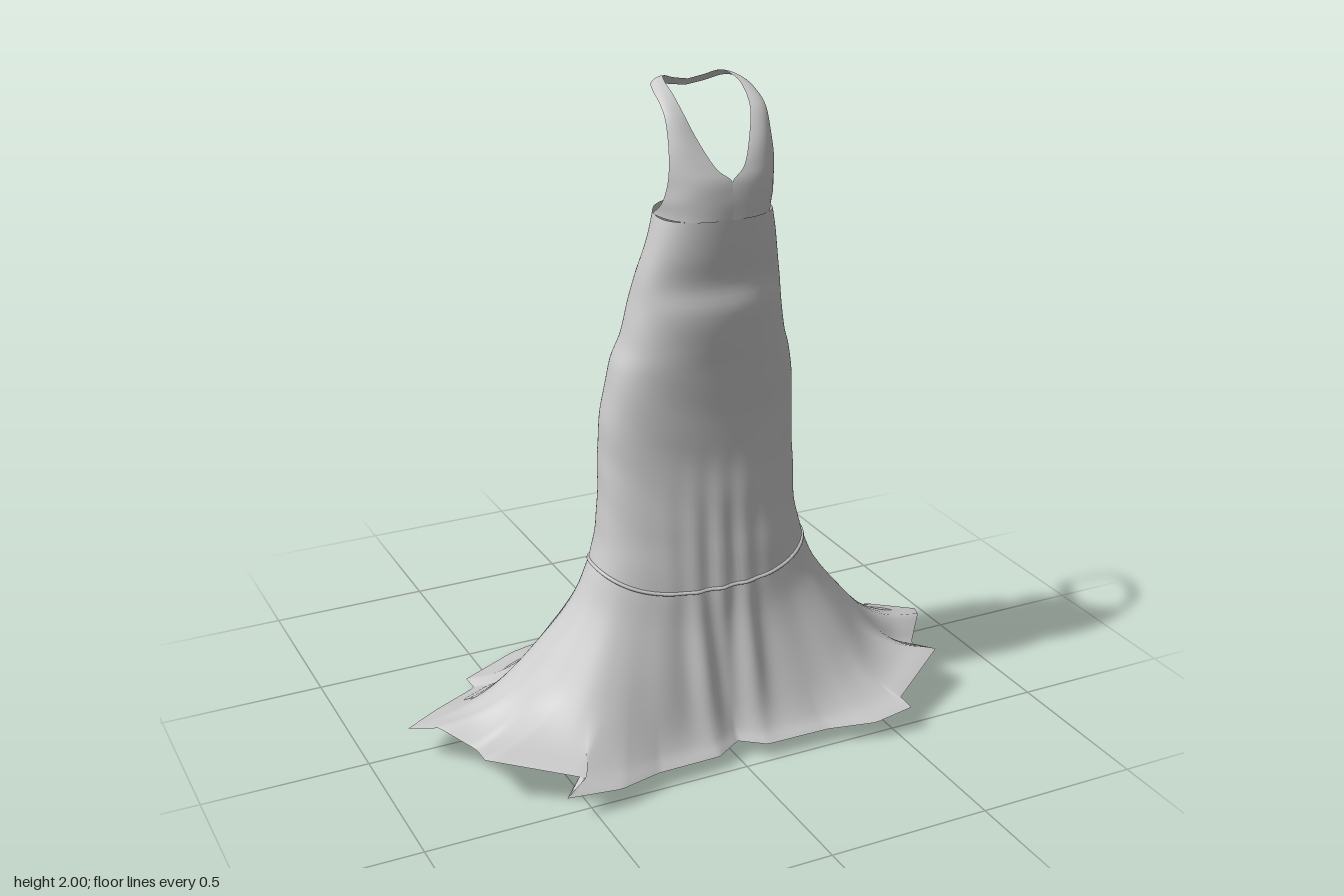
import * as THREE from 'three';

const fabric = new THREE.MeshStandardMaterial({ color: 0xcccccc, side: THREE.DoubleSide });
const { lerp, smoothstep, clamp, radToDeg } = THREE.MathUtils;
const LEAN = -0.01; // the fitted parts sit slightly off centre

// Smooth interpolation through rows [key, a, b, c...] sorted by key
function sample(rows, k) {
  let i = 0;
  while (i < rows.length - 2 && k > rows[i + 1][0]) i++;
  const p0 = rows[Math.max(i - 1, 0)], p1 = rows[i], p2 = rows[i + 1], p3 = rows[Math.min(i + 2, rows.length - 1)];
  const h = p2[0] - p1[0], t = clamp((k - p1[0]) / h, 0, 1);
  return p1.slice(1).map((_, j) => {
    const c = j + 1;
    const m1 = (p2[c] - p0[c]) / (p2[0] - p0[0]) * h, m2 = (p3[c] - p1[c]) / (p3[0] - p1[0]) * h;
    return (2 * t ** 3 - 3 * t * t + 1) * p1[c] + (t ** 3 - 2 * t * t + t) * m1
      + (3 * t * t - 2 * t ** 3) * p2[c] + (t ** 3 - t * t) * m2;
  });
}

// Sheet of cloth from fn(u, v) -> Vector3, optionally closed around u
function sheet(name, cols, rows, closed, fn) {
  const pos = [], index = [], n = closed ? cols : cols + 1;
  for (let r = 0; r <= rows; r++)
    for (let c = 0; c < n; c++) pos.push(...fn(c / cols, r / rows).toArray());
  for (let r = 0; r < rows; r++)
    for (let c = 0; c < cols; c++) {
      const a = r * n + c, b = r * n + (c + 1) % n;
      index.push(a, b, b + n, a, b + n, a + n);
    }
  const g = new THREE.BufferGeometry();
  g.setAttribute('position', new THREE.Float32BufferAttribute(pos, 3));
  g.setIndex(index);
  g.computeVertexNormals();
  const mesh = new THREE.Mesh(g, fabric);
  mesh.name = name;
  return mesh;
}

// Body sections: height, half width, front z, back z
const SECTIONS = [
  [0.5, 0.36, 0.352, -0.037], [0.6, 0.335, 0.345, -0.036], [0.7, 0.312, 0.335, -0.034],
  [0.9, 0.302, 0.322, -0.032], [1.05, 0.294, 0.328, -0.026], [1.2, 0.27, 0.345, 0.0],
  [1.27, 0.245, 0.355, 0.012], [1.38, 0.222, 0.368, 0.03], [1.45, 0.212, 0.358, 0.065],
  [1.54, 0.192, 0.372, 0.1], [1.65, 0.167, 0.387, 0.107],
];

// Angle 0 is the front centre and grows towards +x; the widest line lies forward of the middle
function bodyPoint(angle, y) {
  const [w, front, back] = sample(SECTIONS, y);
  const s = Math.sin(angle), c = Math.cos(angle), mid = (front + back) / 2 + 0.03;
  const ripple = 1 + 0.006 * Math.sin(y * 31 + 2 * Math.cos(angle * 2)) * Math.sin(angle * 3 + y * 9);
  const x = w * Math.sign(s) * Math.abs(s) ** 0.94 * ripple;
  let z = c > 0 ? mid + (front - mid) * c ** 0.85 * ripple : mid - (mid - back) * (-c) * ripple;
  // groove down the centre back and soft pleats on the lower front
  if (c < 0) z += 0.035 * Math.exp(-((x / 0.025) ** 2)) * smoothstep(1.55 - y, 0, 0.4);
  else z += 0.005 * Math.cos(x * 75) * Math.exp(-((x / 0.12) ** 2)) * smoothstep(1.0 - y, 0, 0.4);
  return new THREE.Vector3(x + LEAN, y, z);
}

const seamHeight = a => 0.525 + 0.062 * Math.abs(Math.sin(a)) ** 3 + 0.007 * (1 - Math.cos(a));

// Hem corners: degrees from the front, x, y, z
const HEM = [
  [0, 0, 0.055, 0.44], [14, 0.08, 0.045, 0.48], [35, 0.28, 0.05, 0.49], [47, 0.42, 0.06, 0.535],
  [55, 0.54, 0.085, 0.54], [60, 0.52, 0.11, 0.51], [70, 0.74, 0.15, 0.36], [78, 0.74, 0.1, 0.22],
  [86, 0.82, 0.145, 0.13], [95, 0.88, 0.1, 0.02], [108, 0.78, 0.08, -0.11], [118, 0.74, 0.03, -0.22],
  [130, 0.6, 0.025, -0.3], [148, 0.38, 0.02, -0.42], [164, 0.2, 0.01, -0.48], [173, 0.08, 0.01, -0.505],
  [180, 0, 0.001, -0.55],
];
// The other side differs in a few corners
const CHANGED = {
  55: [0.59, 0.08, 0.54], 70: [0.765, 0.15, 0.36], 108: [0.76, 0.08, -0.08],
  118: [0.58, 0.03, -0.24], 130: [0.58, 0.025, -0.31],
};
const HEM_RIGHT = HEM.map(r => (CHANGED[r[0]] ? [r[0], ...CHANGED[r[0]]] : r));

function hemPoint(angle) {
  const a = (angle + 2 * Math.PI) % (2 * Math.PI), right = a > Math.PI;
  const deg = radToDeg(right ? 2 * Math.PI - a : a);
  const rows = right ? HEM_RIGHT : HEM;
  let i = 0;
  while (i < rows.length - 2 && deg > rows[i + 1][0]) i++;
  const t = (deg - rows[i][0]) / (rows[i + 1][0] - rows[i][0]);
  const [x, y, z] = [1, 2, 3].map(k => lerp(rows[i][k], rows[i + 1][k], t));
  return new THREE.Vector3(right ? -x : x, y, z);
}

// Rounded hem that shapes the cloth above the ragged edge
function softHem(angle) {
  const sum = new THREE.Vector3();
  for (let i = -8; i <= 8; i++) sum.add(hemPoint(angle + i * 0.03));
  return sum.divideScalar(17);
}

// Flare of the skirt: step, share of the spread, share of the drop
const FLARE = [[0, 0, 0], [0.2, 0.11, 0.23], [0.45, 0.33, 0.51], [0.68, 0.58, 0.78], [0.84, 0.78, 0.92], [1, 1, 1]];

function skirtPoint(angle, t) {
  const top = bodyPoint(angle, seamHeight(angle));
  const hem = softHem(angle).lerp(hemPoint(angle), smoothstep(t, 0.55, 1));
  const [spread, drop] = sample(FLARE, t);
  const p = new THREE.Vector3(lerp(top.x, hem.x, spread), lerp(top.y, hem.y, drop), lerp(top.z, hem.z, spread));
  // folds fade out at the seam and the hem
  const fade = Math.sin(Math.PI * t), c = Math.cos(angle);
  const fold = c > 0 ? -0.01 * Math.cos(angle * 16) * c ** 8 : 0.004 * Math.cos(angle * 9 + 1);
  p.x += Math.sin(angle) * fold * fade;
  p.z += c * fold * fade;
  // raised pleat trailing from the centre back
  if (c < 0) {
    const pleat = fade * Math.exp(-(((p.x + 0.03) / 0.055) ** 4));
    p.y += 0.025 * pleat;
    p.z -= 0.02 * pleat;
  }
  return p;
}

const curve = pts => new THREE.CatmullRomCurve3(pts.map(p => new THREE.Vector3(...p)));

// Halter edges from the bust line up over the shoulder to the back of the neck
const INNER = curve([[0, 1.645, 0.387], [0, 1.7, 0.39], [0, 1.75, 0.385], [0.04, 1.785, 0.372], [0.078, 1.86, 0.33],
  [0.1, 1.925, 0.29], [0.106, 1.97, 0.235], [0.104, 1.99, 0.185], [0.086, 1.998, 0.135], [0.045, 1.985, 0.115], [0, 1.977, 0.112]]);
const MIDDLE = curve([[0.125, 1.645, 0.356], [0.114, 1.7, 0.368], [0.1, 1.75, 0.372], [0.11, 1.79, 0.358], [0.122, 1.86, 0.33],
  [0.13, 1.925, 0.291], [0.133, 1.963, 0.241], [0.127, 1.986, 0.181], [0.102, 1.993, 0.127], [0.05, 1.975, 0.107], [0, 1.967, 0.104]]);
const OUTER = curve([[0.167, 1.645, 0.235], [0.167, 1.69, 0.295], [0.162, 1.74, 0.317], [0.159, 1.79, 0.322], [0.155, 1.86, 0.308],
  [0.153, 1.92, 0.283], [0.15, 1.95, 0.245], [0.142, 1.974, 0.182], [0.112, 1.98, 0.118], [0.055, 1.965, 0.1], [0, 1.957, 0.098]]);

function halterPoint(u, v) {
  const a = INNER.getPoint(v), m = MIDDLE.getPoint(v), b = OUTER.getPoint(v);
  const p = a.multiplyScalar((1 - u) * (1 - 2 * u)).add(m.multiplyScalar(4 * u * (1 - u))).add(b.multiplyScalar(u * (2 * u - 1)));
  p.x = Math.max(p.x, 0);
  return p;
}

export function createModel() {
  const dress = new THREE.Group();
  dress.name = 'dress';
  const turn = u => u * Math.PI * 2;

  // Fitted bodice and hips, from the skirt seam to the top of the back
  dress.add(sheet('body', 144, 60, true, (u, v) => {
    const a = turn(u);
    return bodyPoint(a, lerp(seamHeight(a), 1.645, v));
  }));

  // Flared skirt, built from the hem up
  dress.add(sheet('skirt', 288, 36, true, (u, v) => skirtPoint(turn(u), 1 - v)));

  // Piping along the seam between body and skirt
  const seamPath = [];
  for (let i = 0; i < 96; i++) {
    const a = turn(i / 96);
    seamPath.push(bodyPoint(a, seamHeight(a)));
  }
  const piping = new THREE.Mesh(
    new THREE.TubeGeometry(new THREE.CatmullRomCurve3(seamPath, true), 192, 0.006, 6, true), fabric);
  piping.name = 'seamPiping';
  dress.add(piping);

  // Halter front and neck strap, one half per side
  for (const side of [1, -1])
    dress.add(sheet(side > 0 ? 'leftHalter' : 'rightHalter', 14, 60, false, (u, v) => {
      const p = halterPoint(side > 0 ? u : 1 - u, v);
      p.x = p.x * side + LEAN;
      return p;
    }));

  return dress;
}
